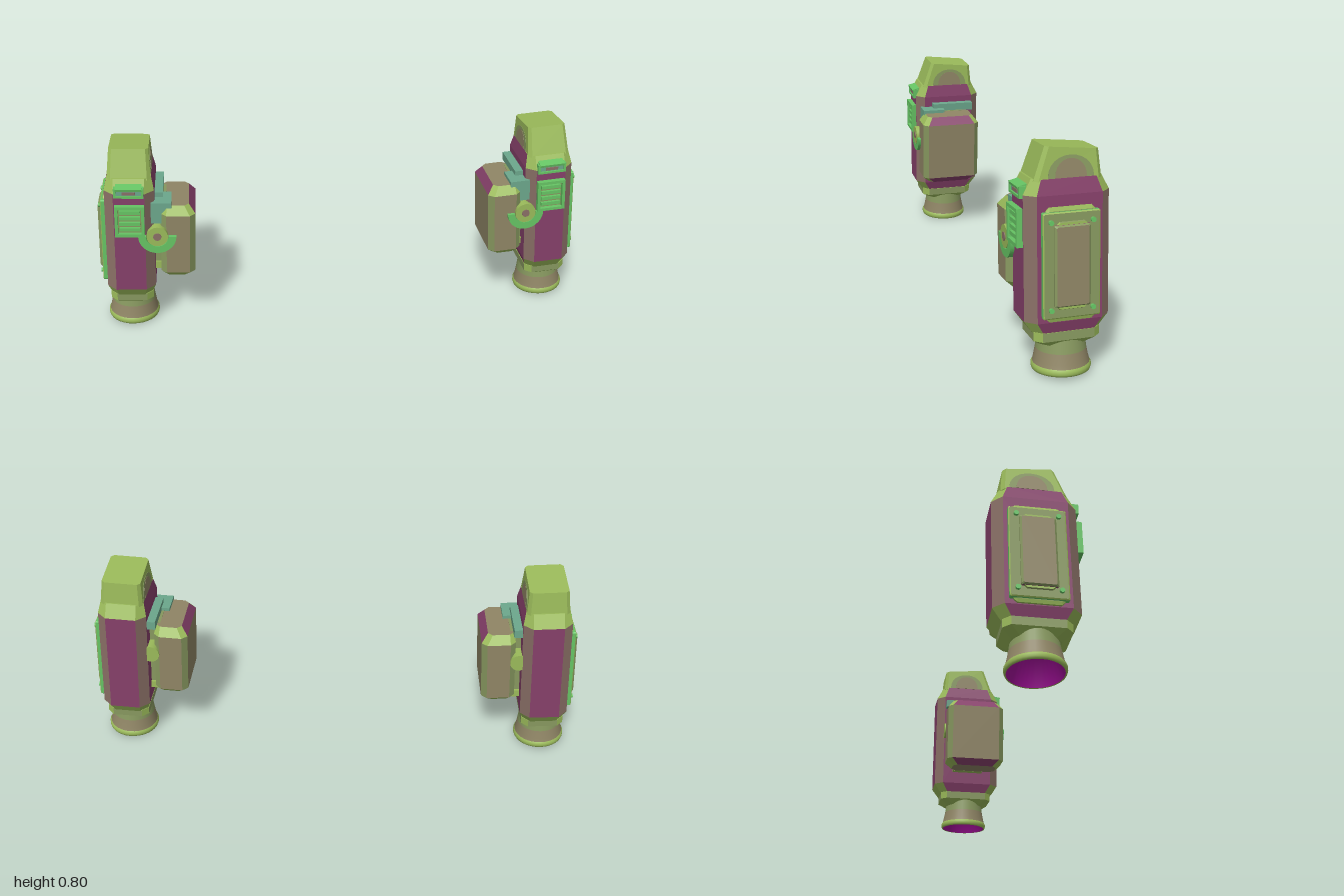
import * as THREE from 'three';

const mat = (name, color) => Object.assign(new THREE.MeshStandardMaterial({ color }), { name });

export function createModel() {
  const plum = mat('plum', 0x86406a), brown = mat('brown', 0x8a7066), tan = mat('tan', 0x8f8565);
  const olive = mat('olive', 0x9aba5a), green = mat('green', 0x66c464), teal = mat('teal', 0x6ca78c);
  const violet = mat('violet', 0xa3109a), moss = mat('moss', 0x87985f);

  const pod = new THREE.Group();
  const add = (name, geo, material, x = 0, y = 0, z = 0) => {
    const mesh = new THREE.Mesh(geo, material);
    mesh.name = name;
    mesh.position.set(x, y, z);
    pod.add(mesh);
    return mesh;
  };
  const box = (name, m, w, h, d, x, y, z) => add(name, new THREE.BoxGeometry(w, h, d), m, x, y, z);

  // Stack of eight-sided sections; each band lists colours for sides, corners, front/back and inner side
  function loft(name, sections, bands, ends, x = 0, y = 0, z = 0) {
    const rings = sections.map(({ v, hx, hz, c, ox = 0, oz = 0, tilt = 0 }) => {
      const a = hx - c, b = hz - c;
      return [[hx, b], [hx, -b], [a, -hz], [-a, -hz], [-hx, -b], [-hx, b], [-a, hz], [a, hz]]
        .map(([px, pz]) => [px + ox, v + pz * tilt, pz + oz]);
    });
    const buckets = new Map();
    const put = (m, ...pts) => {
      if (!buckets.has(m)) buckets.set(m, []);
      pts.forEach((p) => buckets.get(m).push(...p));
    };
    bands.forEach(([side, corner, face = side, inner = side], k) => {
      const lo = rings[k], hi = rings[k + 1], order = [side, face, inner, face];
      for (let i = 0; i < 8; i++) {
        const j = (i + 1) % 8, m = i % 2 ? corner : order[i / 2];
        put(m, lo[i], lo[j], hi[j], lo[i], hi[j], hi[i]);
      }
    });
    const bottom = rings[0], top = rings[rings.length - 1];
    for (let i = 1; i < 7; i++) {
      put(ends, bottom[0], bottom[i + 1], bottom[i]);
      put(ends, top[0], top[i], top[i + 1]);
    }
    const geo = new THREE.BufferGeometry(), pos = [], mats = [...buckets.keys()];
    mats.forEach((m, i) => {
      const pts = buckets.get(m);
      geo.addGroup(pos.length / 3, pts.length / 3, i);
      for (const n of pts) pos.push(n);
    });
    geo.setAttribute('position', new THREE.Float32BufferAttribute(pos, 3));
    geo.computeVertexNormals();
    return add(name, geo, mats, x, y, z);
  }

  // Main housing with bevelled ends
  loft('body', [
    { v: 0.155, hx: 0.082, hz: 0.118, c: 0.03 },
    { v: 0.2, hx: 0.096, hz: 0.15, c: 0.036 },
    { v: 0.635, hx: 0.096, hz: 0.15, c: 0.036 },
    { v: 0.688, hx: 0.085, hz: 0.122, c: 0.026 },
  ], [[plum, olive, olive], [plum, brown], [plum, olive, olive]], olive);
  loft('topCap', [
    { v: 0.68, hx: 0.084, hz: 0.118, c: 0.014 },
    { v: 0.785, hx: 0.076, hz: 0.093, c: 0.012, oz: -0.016, tilt: 0.1 },
  ], [[olive, olive]], olive);
  loft('bottomCollar', [
    { v: 0.104, hx: 0.06, hz: 0.085, c: 0.025 },
    { v: 0.128, hx: 0.086, hz: 0.118, c: 0.026 },
    { v: 0.16, hx: 0.086, hz: 0.118, c: 0.026 },
  ], [[olive, olive], [moss, olive]], olive);

  // Rounded patches on the sides of the cap
  for (const s of [1, -1]) {
    [[0.08, 0.1, 0.002, moss], [0.055, 0.085, 0.003, tan]].forEach(([r, h, depth, m]) => {
      const dome = new THREE.Shape();
      dome.moveTo(-r, 0);
      dome.lineTo(r, 0);
      dome.bezierCurveTo(r, h, -r, h, -r, 0);
      const patch = add('capPatch', new THREE.ExtrudeGeometry(dome, { depth, bevelEnabled: false }), m, s * 0.083, 0.688, -0.008);
      patch.rotation.set(0, s * Math.PI / 2, s * 0.076, 'ZYX');
    });
    box('capDot', plum, 0.008, 0.02, 0.022, s * 0.079, 0.722, -0.01).rotation.z = s * 0.076;
  }

  // Flared exhaust nozzle
  const lathe = (name, m, pts) => add(name, new THREE.LatheGeometry(pts.map((p) => new THREE.Vector2(...p)), 32), m);
  lathe('nozzleLip', olive, [[0.097, 0], [0.102, 0], [0.105, 0.008], [0.105, 0.018], [0.1, 0.025]]);
  lathe('nozzleFlare', tan, [[0.1, 0.025], [0.096, 0.04], [0.089, 0.076]]);
  lathe('nozzleNeck', moss, [[0.089, 0.076], [0.081, 0.13]]);
  lathe('nozzleInside', violet, [[0, 0.1], [0.06, 0.1], [0.097, 0]]);

  // Bolted panel on the outer side
  const onSide = (name, sections, bands, ends) => { loft(name, sections, bands, ends, 0, 0.4, 0).rotation.z = -Math.PI / 2; };
  onSide('sidePlateBase', [
    { v: 0.085, hx: 0.198, hz: 0.086, c: 0.012 },
    { v: 0.102, hx: 0.196, hz: 0.086, c: 0.012 },
    { v: 0.106, hx: 0.184, hz: 0.08, c: 0.006 },
  ], [[olive, olive], [olive, olive]], moss);
  onSide('sidePlate', [
    { v: 0.09, hx: 0.182, hz: 0.1, c: 0.004 },
    { v: 0.112, hx: 0.182, hz: 0.1, c: 0.004 },
    { v: 0.115, hx: 0.178, hz: 0.096, c: 0.004 },
  ], [[green, green], [olive, olive]], moss);
  onSide('sidePanelTray', [
    { v: 0.11, hx: 0.153, hz: 0.056, c: 0.012 },
    { v: 0.12, hx: 0.148, hz: 0.054, c: 0.012 },
  ], [[moss, olive]], olive);
  onSide('sidePanel', [
    { v: 0.112, hx: 0.14, hz: 0.063, c: 0.004 },
    { v: 0.122, hx: 0.14, hz: 0.063, c: 0.004 },
    { v: 0.128, hx: 0.135, hz: 0.056, c: 0.004 },
  ], [[plum, moss, moss], [moss, moss]], tan);
  for (const sy of [1, -1]) for (const sz of [1, -1]) {
    add('panelBolt', new THREE.CylinderGeometry(0.009, 0.009, 0.012, 10), green, 0.118, 0.4 + sy * 0.15, sz * 0.073).rotation.z = Math.PI / 2;
  }

  // Louvred vent and small latch on the front
  const rect = (Kind, w, h) => new Kind([[-w, -h], [w, -h], [w, h], [-w, h]].map((p) => new THREE.Vector2(...p)));
  const frame = (name, w, h, t, depth, x, y, z) => {
    const shape = rect(THREE.Shape, w, h);
    shape.holes.push(rect(THREE.Path, w - t, h - t));
    return add(name, new THREE.ExtrudeGeometry(shape, { depth, bevelEnabled: false }), green, x, y, z);
  };
  frame('ventFrame', 0.057, 0.066, 0.012, 0.026, -0.002, 0.523, 0.145);
  box('ventBack', moss, 0.092, 0.11, 0.008, -0.002, 0.523, 0.15);
  for (let i = 0; i < 4; i++) box('ventSlat', green, 0.08, 0.014, 0.012, -0.002, 0.486 + i * 0.025, 0.159);
  frame('latchFrame', 0.057, 0.02, 0.009, 0.024, 0, 0.643, 0.138);
  box('latchInset', teal, 0.098, 0.024, 0.02, 0, 0.643, 0.146);
  box('latchBar', brown, 0.05, 0.012, 0.006, 0, 0.642, 0.157);
  box('latchLip', green, 0.1, 0.01, 0.034, 0, 0.662, 0.148).rotation.x = 0.25;

  // Inner pack and its mount
  loft('pack', [
    { v: 0.252, hx: 0.05, hz: 0.102, c: 0.02, ox: 0.006 },
    { v: 0.28, hx: 0.068, hz: 0.132, c: 0.022 },
    { v: 0.54, hx: 0.068, hz: 0.132, c: 0.022 },
    { v: 0.574, hx: 0.052, hz: 0.106, c: 0.018, ox: 0.01 },
  ], [[olive, olive, olive, plum], [moss, moss, tan, tan], [olive, olive, olive, plum]], tan, -0.188, 0, 0.02);
  box('packMount', moss, 0.07, 0.31, 0.12, -0.105, 0.42, 0);
  box('mountTop', teal, 0.08, 0.09, 0.1, -0.122, 0.543, 0.083);
  box('mountRail', teal, 0.034, 0.035, 0.19, -0.112, 0.59, -0.015);
  box('mountFoot', olive, 0.045, 0.03, 0.14, -0.105, 0.268, 0);

  // Hinge pin, end caps and curved bracket
  const disc = (name, m, r, d, z) => { add(name, new THREE.CylinderGeometry(r, r, d, 20), m, -0.107, 0.455, z).rotation.x = Math.PI / 2; };
  disc('hingePin', olive, 0.036, 0.275, 0.02);
  disc('hingeFrontCap', olive, 0.042, 0.02, 0.156);
  disc('hingeStud', brown, 0.016, 0.004, 0.167);
  const arc = new THREE.Shape();
  arc.absarc(0, 0, 0.074, Math.PI, Math.PI * 2, false);
  arc.absarc(0, 0, 0.044, Math.PI * 2, Math.PI, true);
  add('hingeBracket', new THREE.ExtrudeGeometry(arc, { depth: 0.022, bevelEnabled: false, curveSegments: 16 }), green, -0.107, 0.455, 0.143);

  pod.name = 'leftPod';
  pod.position.set(0.887, 0.01, -0.01);
  pod.rotation.z = 0.07;
  pod.updateMatrixWorld(true);

  // Mirrored copy with its corner order reversed
  const other = new THREE.Group();
  other.name = 'rightPod';
  const flip = new THREE.Matrix4().makeScale(-1, 1, 1);
  for (const part of pod.children) {
    const geo = part.geometry.index ? part.geometry.toNonIndexed() : part.geometry.clone();
    geo.applyMatrix4(flip.clone().multiply(part.matrixWorld));
    for (const key of ['position', 'normal']) {
      const a = geo.attributes[key].array;
      for (let i = 0; i < a.length; i += 9) {
        for (let k = 3; k < 6; k++) [a[i + k], a[i + k + 3]] = [a[i + k + 3], a[i + k]];
      }
    }
    const copy = new THREE.Mesh(geo, part.material);
    copy.name = part.name;
    other.add(copy);
  }

  const model = new THREE.Group();
  model.name = 'thrusterPods';
  model.add(pod, other);
  return model;
}
